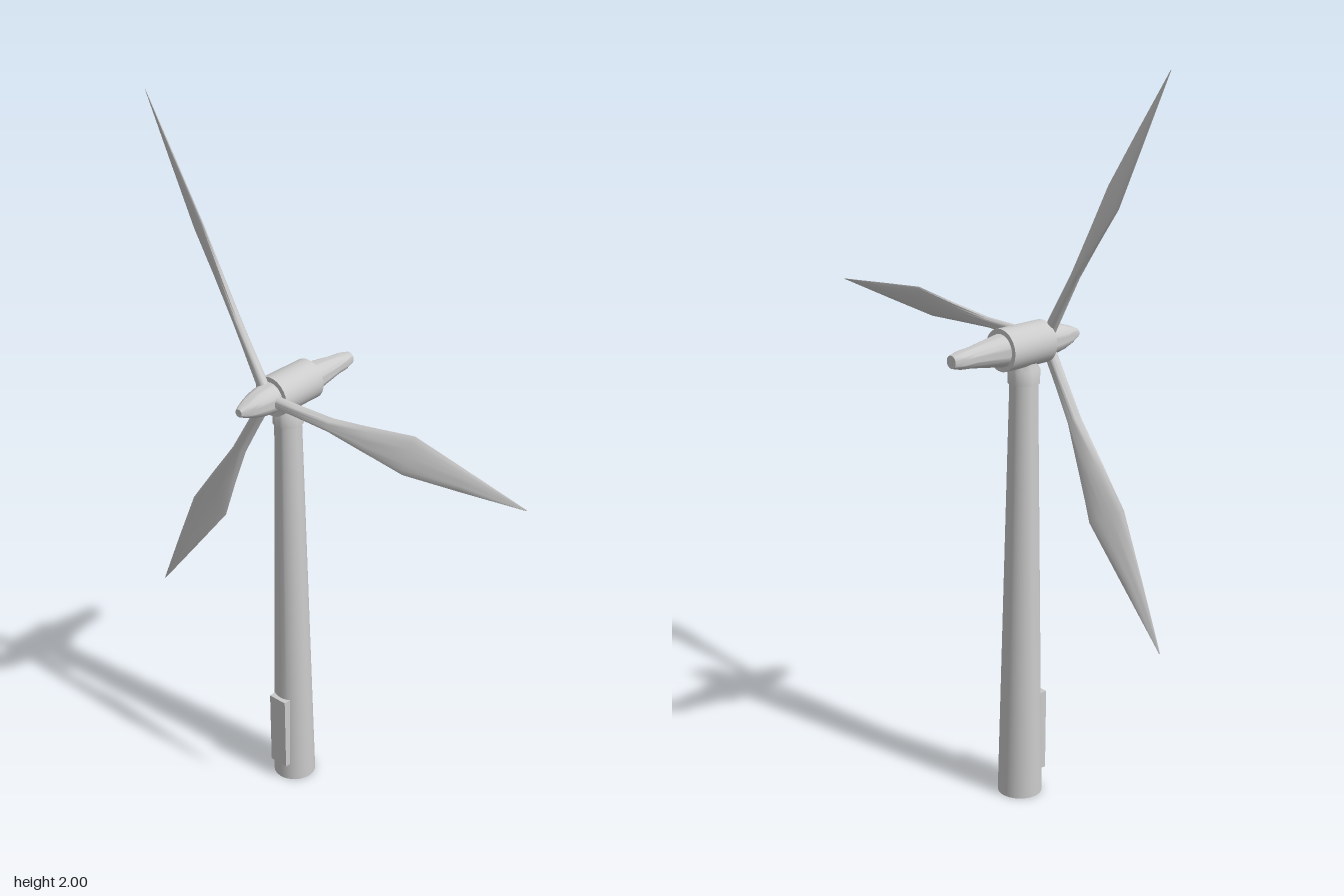
import * as THREE from 'three';
import { toCreasedNormals } from 'three/addons/utils/BufferGeometryUtils.js';

const TOWER_X = -0.215, TOWER_Z = 0.027, HUB_Y = 1.263, ROTOR_Z = 0.101;
const material = new THREE.MeshStandardMaterial({ color: 0xcccccc });

function addMesh(parent, name, geometry, x = 0, y = 0, z = 0) {
  const mesh = new THREE.Mesh(geometry, material);
  mesh.name = name;
  mesh.position.set(x, y, z);
  parent.add(mesh);
  return mesh;
}

// Revolved profile of [radius, height] pairs, with sharp steps kept sharp
function lathe(profile, segments = 32) {
  const points = profile.map(([r, h]) => new THREE.Vector2(r, h));
  return toCreasedNormals(new THREE.LatheGeometry(points, segments), 0.6);
}

// Blade along +x: pitched elliptical sections from a round root to a pointed tip
function bladeGeometry() {
  // [distance, upper edge, lower edge, half thickness, pitch slope]
  const stations = [
    [0, 0.017, -0.017, 0.016, 0],
    [0.1, 0.016, -0.016, 0.015, 0.1],
    [0.22, 0.017, -0.015, 0.014, 0.4],
    [0.35, 0.034, -0.027, 0.012, 0.5],
    [0.48, 0.053, -0.038, 0.009, 0.5],
    [0.66, 0.028, -0.021, 0.006, 0.5],
    [0.852, 0.001, -0.001, 0.001, 0.5],
  ];
  const sides = 16, positions = [], index = [];
  for (const [x, top, bottom, thick, slope] of stations) {
    for (let i = 0; i < sides; i++) {
      const a = (i / sides) * Math.PI * 2;
      const y = (top + bottom) / 2 + (Math.cos(a) * (top - bottom)) / 2;
      positions.push(x, y, Math.sin(a) * thick - y * slope);
    }
  }
  for (let s = 0; s < stations.length - 1; s++) {
    for (let i = 0; i < sides; i++) {
      const j = (i + 1) % sides;
      const a = s * sides + i, b = s * sides + j;
      index.push(a, b, a + sides, b, b + sides, a + sides);
    }
  }
  // Close the tip
  const last = (stations.length - 1) * sides;
  for (let i = 1; i < sides - 1; i++) index.push(last, last + i, last + i + 1);
  const geometry = new THREE.BufferGeometry();
  geometry.setAttribute('position', new THREE.Float32BufferAttribute(positions, 3));
  geometry.setIndex(index);
  return toCreasedNormals(geometry, 0.8);
}

export function createModel() {
  const model = new THREE.Group();
  model.name = 'windTurbine';

  // Tapered tower with a collar under the nacelle
  addMesh(model, 'tower', lathe([[0, 0], [0.06, 0], [0.037, 1.17], [0, 1.17]]), TOWER_X, 0, TOWER_Z);
  addMesh(model, 'collar', lathe([
    [0, 1.164], [0.042, 1.164], [0.042, 1.2], [0.036, 1.212], [0.036, 1.24], [0, 1.24],
  ]), TOWER_X, 0, TOWER_Z);

  // Door panel at the foot of the tower
  addMesh(model, 'door', new THREE.BoxGeometry(0.058, 0.228, 0.05), TOWER_X, 0.169, 0.069);

  // Nacelle: stepped tail cone and main drum, lying along z
  const nacelle = addMesh(model, 'nacelle', lathe([
    [0, -0.216], [0.017, -0.216], [0.024, -0.19], [0.027, -0.154], [0.043, -0.053],
    [0.056, -0.053], [0.056, 0.09], [0, 0.09],
  ]), TOWER_X, HUB_Y, 0);
  nacelle.rotation.x = Math.PI / 2;

  // Bullet-shaped nose
  const nose = addMesh(model, 'noseCone', lathe([
    [0.042, 0.08], [0.042, 0.1], [0.039, 0.128], [0.034, 0.153], [0.026, 0.178],
    [0.017, 0.199], [0.011, 0.211], [0, 0.211],
  ]), TOWER_X, HUB_Y, 0);
  nose.rotation.x = Math.PI / 2;

  // Three-bladed rotor, tilted slightly
  const rotor = new THREE.Group();
  rotor.name = 'rotor';
  rotor.position.set(TOWER_X, HUB_Y, ROTOR_Z);
  rotor.rotation.x = -0.0185;
  const blade = bladeGeometry();
  for (let i = 0; i < 3; i++) {
    addMesh(rotor, 'blade' + (i + 1), blade).rotation.z = (i * Math.PI * 2) / 3;
  }
  model.add(rotor);

  return model;
}
